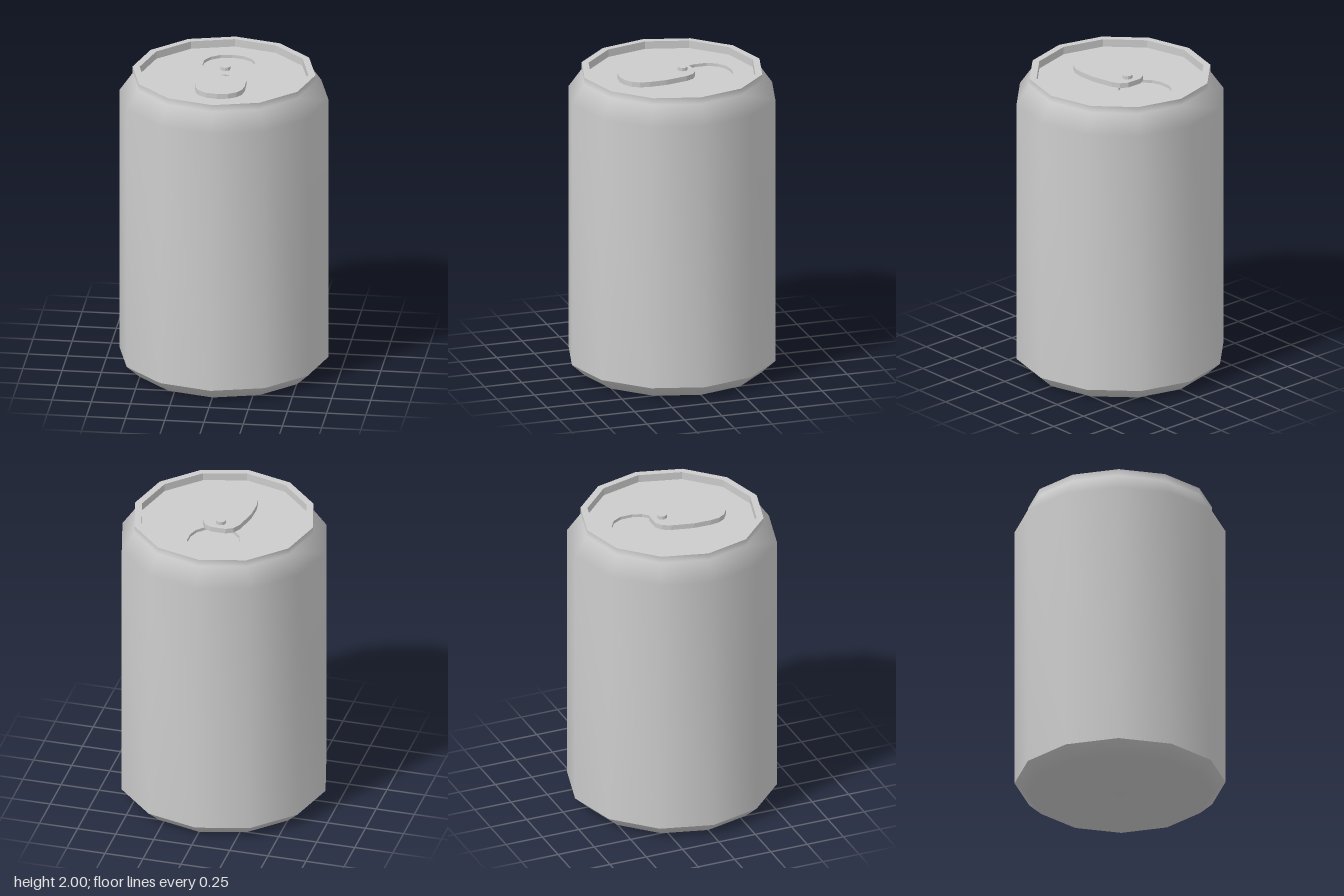
import * as THREE from 'three';
import { mergeVertices } from 'three/addons/utils/BufferGeometryUtils.js';

const SIDES = 12;
const LID_Y = 1.945;
const RECESS = 0.02;

const grey = (flatShading = false) =>
  new THREE.MeshStandardMaterial({ color: 0xcccccc, flatShading });

function addMesh(group, name, geometry, flat = false) {
  const mesh = new THREE.Mesh(geometry, grey(flat));
  mesh.name = name;
  group.add(mesh);
  return mesh;
}

// Turned surface with area-weighted smooth normals and no seam
function turned(profile) {
  const g = new THREE.LatheGeometry(profile.map(([r, y]) => new THREE.Vector2(r, y)), SIDES);
  g.deleteAttribute('uv');
  g.deleteAttribute('normal');
  const merged = mergeVertices(g, 1e-4);
  merged.computeVertexNormals();
  return merged;
}

// Closed outline from its right half, given as [x, z] from back to front
function mirrored(half) {
  const left = half.filter(([x]) => x > 0).map(([x, z]) => [-x, z]).reverse();
  return [...half, ...left].map(([x, z]) => new THREE.Vector2(x, -z));
}

// Flat plate lying in the xz plane, bottom at y
function plate(outline, hole, y, thickness) {
  const shape = new THREE.Shape(outline);
  if (hole) shape.holes.push(new THREE.Path(hole));
  const g = new THREE.ExtrudeGeometry(shape, { depth: thickness, bevelEnabled: false });
  return g.rotateX(-Math.PI / 2).translate(0, y, 0);
}

export function createModel() {
  const can = new THREE.Group();
  can.name = 'drinkCan';

  // Shell: base with chamfer, wall with shoulder and neck, rim
  addMesh(can, 'base', turned([[0, 0], [0.58, 0], [0.667, 0.08]]));
  addMesh(can, 'wall', turned([[0.667, 0.08], [0.667, 1.83], [0.583, 1.95], [0.583, 1.995]]));
  addMesh(can, 'rim', turned([[0.583, 1.995], [0.538, 1.995], [0.538, LID_Y - RECESS]]), true);

  // Lid with a sunken mouth panel
  const lidOutline = [];
  for (let i = 0; i < SIDES; i++) {
    const a = (i / SIDES) * Math.PI * 2;
    lidOutline.push(new THREE.Vector2(0.538 * Math.cos(a), 0.538 * Math.sin(a)));
  }
  const mouth = mirrored([
    [0, -0.395], [0.07, -0.385], [0.13, -0.345], [0.163, -0.285], [0.163, -0.205],
    [0.142, -0.145], [0.1, -0.1], [0.05, -0.07], [0, -0.06],
  ]);
  addMesh(can, 'lid', plate(lidOutline, mouth, LID_Y - RECESS, RECESS));
  addMesh(can, 'mouthPanel', plate(mouth, null, LID_Y - RECESS - 0.01, 0.01));

  // Pull tab with finger hole
  const tab = mirrored([
    [0.05, -0.137], [0.095, -0.11], [0.122, -0.06], [0.155, 0.085], [0.158, 0.2],
    [0.148, 0.262], [0.12, 0.307], [0.07, 0.34], [0, 0.352],
  ]);
  const fingerHole = mirrored([
    [0, 0.02], [0.058, 0.03], [0.1, 0.065], [0.117, 0.125], [0.117, 0.19],
    [0.1, 0.262], [0.06, 0.305], [0, 0.318],
  ]);
  addMesh(can, 'pullTab', plate(tab, fingerHole, LID_Y, 0.033));

  // Rivet holding the tab
  const rivet = addMesh(can, 'rivet', new THREE.CylinderGeometry(0.032, 0.032, 2 - LID_Y, 10), true);
  rivet.position.set(0, (2 + LID_Y) / 2, -0.07);

  return can;
}
